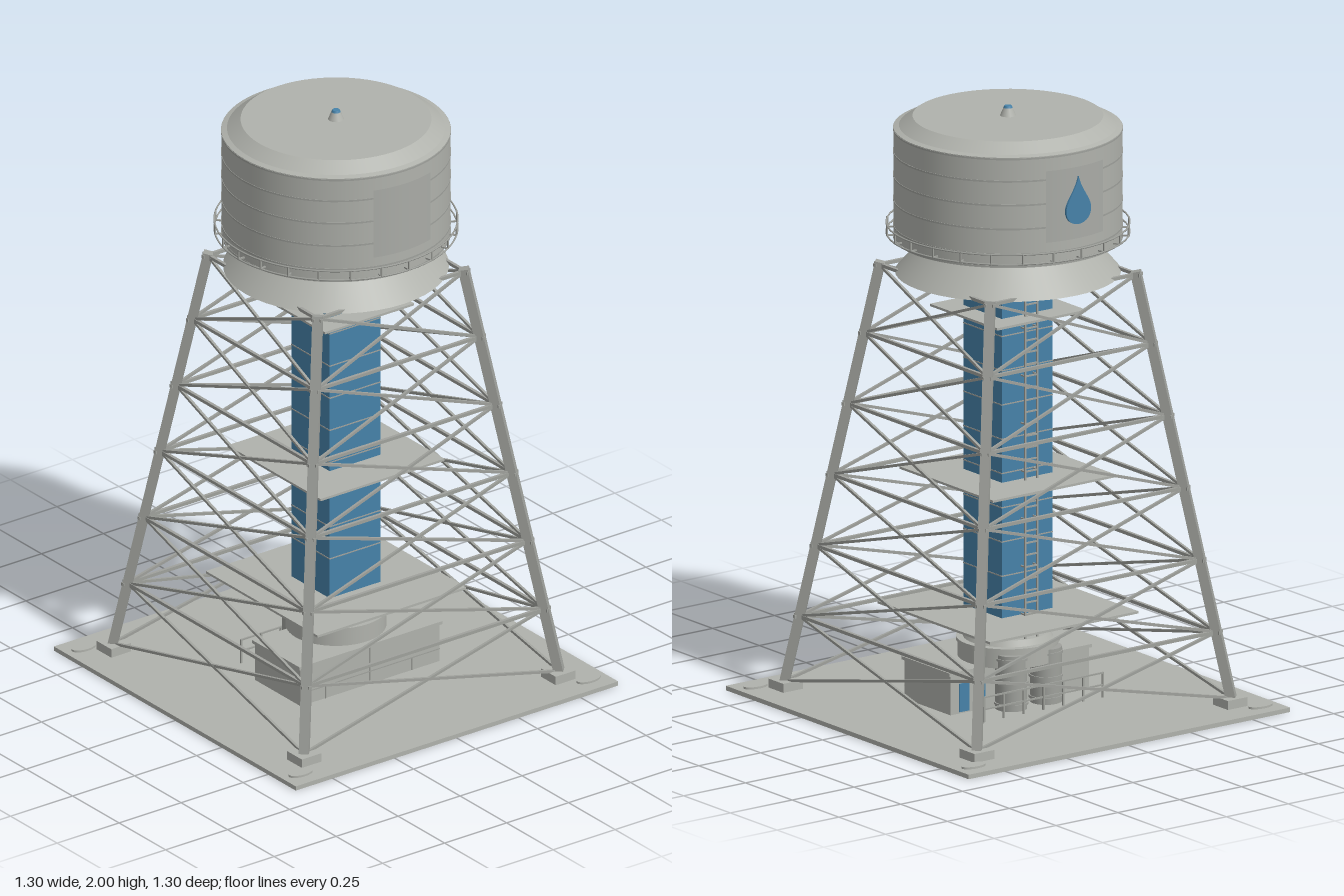
import * as THREE from 'three';

const mat = (name, color, side = THREE.FrontSide) => {
  const m = new THREE.MeshStandardMaterial({ color, side });
  m.name = name;
  return m;
};

export function createModel() {
  const root = new THREE.Group();
  root.name = 'waterTower';
  const concrete = mat('concrete grey', 0xb0b2ac);
  const steel = mat('steel grey', 0x9fa19c);
  const plate = mat('tank panel grey', 0xa9aba6, THREE.DoubleSide);
  const blue = mat('water blue', 0x4682a9);

  const group = (name, parent = root) => {
    const g = new THREE.Group();
    g.name = name;
    parent.add(g);
    return g;
  };
  const add = (name, geo, m, x = 0, y = 0, z = 0, parent = root) => {
    const o = new THREE.Mesh(geo, m);
    o.name = name;
    o.position.set(x, y, z);
    parent.add(o);
    return o;
  };
  // Box given by its lower and upper heights
  const box = (name, w, y0, y1, d, m, x = 0, z = 0, parent = root) =>
    add(name, new THREE.BoxGeometry(w, y1 - y0, d), m, x, (y0 + y1) / 2, z, parent);
  const drum = (name, rTop, rBottom, y0, y1, m, x = 0, z = 0, parent = root, seg = 48) =>
    add(name, new THREE.CylinderGeometry(rTop, rBottom, y1 - y0, seg), m, x, (y0 + y1) / 2, z, parent);
  // Square bar between two points
  const bar = (name, a, b, t, m, parent) => {
    const o = add(name, new THREE.BoxGeometry(t, t, a.distanceTo(b)), m, 0, 0, 0, parent);
    o.position.copy(a).add(b).multiplyScalar(0.5);
    o.lookAt(b);
    return o;
  };
  const ring = (name, r, t, y, m, parent) => {
    const o = add(name, new THREE.TorusGeometry(r, t, 6, 64), m, 0, y, 0, parent);
    o.rotation.x = Math.PI / 2;
    return o;
  };

  // Ground slab, footings and corner covers
  box('groundSlab', 1.3, 0, 0.015, 1.3, concrete);
  const corners = [[1, 1], [1, -1], [-1, -1], [-1, 1]];
  for (const [sx, sz] of corners) {
    box('footing', 0.08, 0.015, 0.045, 0.08, concrete, sx * 0.512, sz * 0.512);
    drum('cornerCover', 0.045, 0.045, 0.015, 0.022, concrete, sx * 0.58, sz * 0.583, root, 20).scale.z = 0.55;
  }

  // Lattice frame: four leaning legs, girts and crossed braces
  const frame = group('latticeFrame');
  const reach = (y) => 0.514 - (y - 0.04) * 0.155;
  const at = ([sx, sz], y) => new THREE.Vector3(sx * reach(y), y, sz * reach(y));
  const levels = [0.04, 0.26, 0.5, 0.74, 0.98, 1.22, 1.45];
  corners.forEach((c, i) => {
    const next = corners[(i + 1) % 4];
    bar('leg', at(c, 0.03), at(c, 1.46), 0.032, steel, frame);
    levels.forEach((y, k) => {
      if (k > 0) {
        const a = at(c, y), b = at(next, y);
        const over = b.clone().sub(a).normalize().multiplyScalar(0.022);
        bar('girt', a.sub(over), b.add(over), 0.011, steel, frame);
      }
      if (k < levels.length - 1) {
        bar('brace', at(c, y), at(next, levels[k + 1]), 0.009, steel, frame);
        bar('brace', at(next, y), at(c, levels[k + 1]), 0.009, steel, frame);
      }
    });
  });

  // Work platforms
  for (const [y, half] of [[0.315, 0.3], [0.77, 0.25], [1.32, 0.18]])
    box('platform', half * 2, y - 0.004, y + 0.004, half * 2, concrete);

  // Central shaft with seams and a rear ladder
  const shaft = group('centralShaft');
  box('shaftBody', 0.204, 0.24, 1.445, 0.204, blue, 0, 0, shaft);
  for (let y = 0.46; y < 1.4; y += 0.115) box('shaftSeam', 0.207, y - 0.002, y + 0.002, 0.207, steel, 0, 0, shaft);
  const ladder = group('ladder');
  for (const s of [-1, 1]) box('ladderRail', 0.006, 0.24, 1.44, 0.006, steel, s * 0.024, -0.125, ladder);
  for (let y = 0.28; y < 1.43; y += 0.04) box('ladderRung', 0.05, y, y + 0.005, 0.005, steel, 0, -0.125, ladder);
  for (let y = 0.32; y < 1.43; y += 0.16)
    for (const s of [-1, 1]) box('ladderBracket', 0.005, y, y + 0.005, 0.03, steel, s * 0.024, -0.113, ladder);

  // Pump house and round shaft base
  const house = group('pumpHouse');
  box('houseWalls', 0.56, 0.015, 0.147, 0.245, concrete, 0, 0.06, house);
  box('houseRoof', 0.576, 0.147, 0.158, 0.257, concrete, 0, 0.06, house);
  for (const x of [-0.18, 0, 0.17]) box('wallJoint', 0.004, 0.015, x ? 0.06 : 0.147, 0.004, steel, x, 0.183, house);
  box('wallCourse', 0.56, 0.058, 0.062, 0.003, steel, 0, 0.183, house);
  for (const x of [0.16, 0.225]) box('houseDoor', 0.04, 0.02, 0.115, 0.004, blue, x, -0.064, house);
  drum('shaftBase', 0.163, 0.163, 0.155, 0.222, concrete);
  drum('shaftBaseRim', 0.168, 0.168, 0.21, 0.222, concrete);
  drum('shaftCollar', 0.135, 0.145, 0.222, 0.242, concrete);

  // Rear pressure vessels, with a low rail behind
  for (const x of [-0.07, 0.07]) {
    drum('vessel', 0.052, 0.052, 0.015, 0.2, steel, x, -0.11, root, 24);
    for (const y of [0.03, 0.1, 0.18]) drum('vesselBand', 0.056, 0.056, y, y + 0.008, steel, x, -0.11, root, 24);
  }
  const fence = group('rearRail');
  for (let i = 0; i < 7; i++) box('railPost', 0.006, 0.015, 0.1, 0.006, steel, -0.24 + i * 0.08, -0.19, fence);
  for (const y of [0.055, 0.095]) box('railBar', 0.486, y, y + 0.005, 0.005, steel, 0, -0.19, fence);

  // Flared skirt and tank
  drum('skirt', 0.262, 0.365, 1.445, 1.562, concrete);
  const tank = group('tank');
  drum('tankWall', 0.37, 0.37, 1.56, 1.93, concrete, 0, 0, tank, 64);
  drum('roofBevel', 0.308, 0.352, 1.935, 1.967, concrete, 0, 0, tank, 64);
  drum('roofEdge', 0.352, 0.37, 1.93, 1.935, concrete, 0, 0, tank, 64);
  for (const y of [1.565, 1.605, 1.69, 1.77, 1.85, 1.925])
    drum('tankSeam', 0.3715, 0.3715, y - 0.003, y + 0.003, steel, 0, 0, tank, 64);
  drum('ventBase', 0.015, 0.026, 1.967, 1.993, concrete, 0, 0, tank, 20);
  drum('beacon', 0.012, 0.015, 1.993, 2.0, blue, 0, 0, tank, 20);

  // Curved panels on front and back, with a water drop on the back
  const half = Math.asin(0.115 / 0.374);
  for (const mid of [0, Math.PI])
    add('signPanel', new THREE.CylinderGeometry(0.374, 0.374, 0.24, 12, 1, true, mid - half, half * 2), plate, 0, 1.76, 0, tank);
  const drop = new THREE.Shape();
  drop.moveTo(0, 0.085);
  drop.bezierCurveTo(0.012, 0.035, 0.05, 0.005, 0.05, -0.028);
  drop.bezierCurveTo(0.05, -0.092, -0.05, -0.092, -0.05, -0.028);
  drop.bezierCurveTo(-0.05, 0.005, -0.012, 0.035, 0, 0.085);
  const dropGeo = new THREE.ExtrudeGeometry(drop, { depth: 0.008, bevelEnabled: false, curveSegments: 14 });
  add('waterDrop', dropGeo, blue, 0, 1.765, -0.379, tank);

  // Railing around the tank foot
  const rail = group('tankRailing');
  for (const y of [1.578, 1.61]) ring('railHoop', 0.393, 0.003, y, steel, rail);
  for (let i = 0; i < 24; i++) {
    const a = (i / 24) * Math.PI * 2;
    const x = Math.sin(a), z = Math.cos(a);
    box('railPost', 0.005, 1.576, 1.612, 0.005, steel, x * 0.393, z * 0.393, rail);
    bar('railBracket', new THREE.Vector3(x * 0.368, 1.578, z * 0.368), new THREE.Vector3(x * 0.393, 1.578, z * 0.393), 0.005, steel, rail);
  }
  return root;
}
